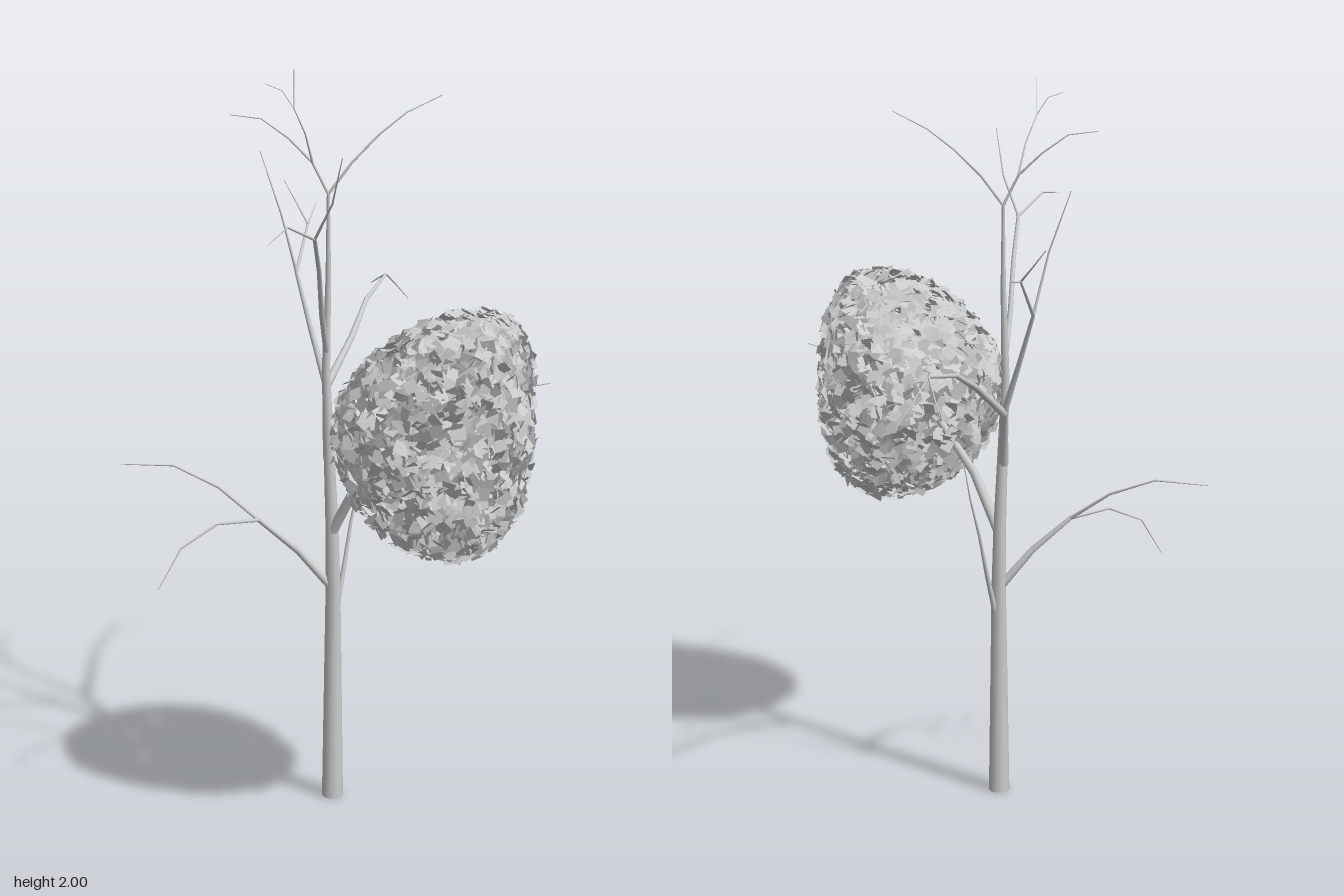
import * as THREE from 'three';

const barkMaterial = new THREE.MeshStandardMaterial({ color: 0xcccccc, side: THREE.DoubleSide });
const leafMaterial = new THREE.MeshStandardMaterial({ color: 0xcccccc, side: THREE.DoubleSide, flatShading: true });
const SIDES = 10;
const UP = new THREE.Vector3(0, 1, 0);
const FORWARD = new THREE.Vector3(0, 0, 1);
const CROWN = new THREE.Vector3(0.272, 1.11, 0.368);

// Seeded random numbers from -0.5 to 0.5
function seeded(seed) {
  return () => {
    seed = (seed * 16807) % 2147483647;
    return seed / 2147483647 - 0.5;
  };
}

// Tapered open limb: rings along a bent path, thinning by length
function limb(name, r0, r1, path) {
  const pts = path.map(p => new THREE.Vector3(...p));
  const along = [0];
  for (let i = 1; i < pts.length; i++) along.push(along[i - 1] + pts[i].distanceTo(pts[i - 1]));
  const total = along[along.length - 1];
  const pos = [], index = [];
  const q = new THREE.Quaternion();
  pts.forEach((p, i) => {
    const before = pts[Math.max(i - 1, 0)], after = pts[Math.min(i + 1, pts.length - 1)];
    q.setFromUnitVectors(UP, after.clone().sub(before).normalize());
    const r = THREE.MathUtils.lerp(r0, r1, along[i] / total);
    for (let j = 0; j < SIDES; j++) {
      const a = (j / SIDES) * Math.PI * 2;
      const v = new THREE.Vector3(Math.cos(a) * r, 0, Math.sin(a) * r).applyQuaternion(q).add(p);
      pos.push(v.x, v.y, v.z);
      if (i < pts.length - 1) {
        const k = i * SIDES + j, n = i * SIDES + (j + 1) % SIDES;
        index.push(k, k + SIDES, n, n, k + SIDES, n + SIDES);
      }
    }
  });
  const g = new THREE.BufferGeometry();
  g.setAttribute('position', new THREE.Float32BufferAttribute(pos, 3));
  g.setIndex(index);
  g.computeVertexNormals();
  const mesh = new THREE.Mesh(g, barkMaterial);
  mesh.name = name;
  return mesh;
}

// Bean-shaped leaf shell: round toward the trunk, bent outward at top and bottom.
// Local x runs across, local z runs outward from the trunk along the diagonal.
function shellPoint(d) {
  const across = d.x * 0.27;
  const out = d.z * 0.225 + (d.y > 0 ? 0.135 : 0.075) * d.y * d.y - 0.025;
  const s = Math.SQRT1_2;
  return new THREE.Vector3(s * (out + across), d.y * 0.315, s * (out - across)).add(CROWN);
}

function foliage() {
  const rand = seeded(4211);
  const count = 2500, pos = [];
  // Openings in the leaf cover, some facing each other so light passes through
  const gaps = [[-0.55, 0, 0.83], [0.78, 0, -0.6], [0, 1, 0], [0.1, -1, 0.15], [-0.7, -0.4, -0.6],
    [0.7, -0.4, 0.6], [0.1, 0.05, 1], [-0.4, 0.7, 0.5], [-0.1, 0.1, -1], [0.5, 0.8, -0.2]]
    .map(g => new THREE.Vector3(...g).normalize());
  const q = new THREE.Quaternion(), tilt = new THREE.Quaternion();
  for (let i = 0; i < count; i++) {
    const y = 1 - 2 * (i + 0.5) / count, r = Math.sqrt(1 - y * y), a = i * 2.39996;
    const dir = new THREE.Vector3(r * Math.cos(a), y, r * Math.sin(a));
    dir.add(new THREE.Vector3(rand(), rand(), rand()).multiplyScalar(0.12)).normalize();
    if (gaps.some(g => g.distanceTo(dir) < 0.13)) continue;
    const centre = shellPoint(dir);
    // Surface normal from two nearby shell points
    const t1 = new THREE.Vector3().crossVectors(dir, Math.abs(dir.y) > 0.9 ? FORWARD : UP).normalize();
    const t2 = new THREE.Vector3().crossVectors(dir, t1);
    const e1 = shellPoint(dir.clone().addScaledVector(t1, 0.02)).sub(centre);
    const e2 = shellPoint(dir.clone().addScaledVector(t2, 0.02)).sub(centre);
    const normal = e1.cross(e2).normalize();
    if (normal.dot(centre.clone().sub(CROWN)) < 0) normal.negate();
    // Square leaf, tilted a little off the shell
    tilt.setFromEuler(new THREE.Euler(rand() * 1.5, rand() * 1.5, rand() * Math.PI * 2));
    q.setFromUnitVectors(FORWARD, normal).multiply(tilt);
    const half = 0.0165 + rand() * 0.003;
    centre.addScaledVector(normal, rand() * 0.016);
    const c = [[-1, -1], [1, -1], [1, 1], [-1, 1]].map(([u, v]) =>
      new THREE.Vector3(u * half, v * half, 0).applyQuaternion(q).add(centre));
    for (const k of [0, 1, 2, 0, 2, 3]) pos.push(c[k].x, c[k].y, c[k].z);
  }
  const g = new THREE.BufferGeometry();
  g.setAttribute('position', new THREE.Float32BufferAttribute(pos, 3));
  g.computeVertexNormals();
  const mesh = new THREE.Mesh(g, leafMaterial);
  mesh.name = 'foliage';
  return mesh;
}

export function createModel() {
  const tree = new THREE.Group();
  tree.name = 'tree';
  tree.add(
    limb('trunk', 0.029, 0.004, [[0.012, 0, 0.098], [0.013, 0.6, 0.097], [0.01, 0.78, 0.096], [-0.006, 1.2, 0.095], [0, 1.45, 0.1], [0, 1.67, 0.1]]),

    // Crown twigs
    limb('crownTwigLeft', 0.004, 0.001, [[0, 1.67, 0.1], [-0.04, 1.75, 0.1], [-0.1, 1.81, 0.08], [-0.17, 1.86, 0.075], [-0.25, 1.87, 0.07]]),
    limb('crownTwigFront', 0.003, 0.0012, [[-0.04, 1.75, 0.1], [-0.06, 1.83, 0.14], [-0.09, 1.9, 0.175]]),
    limb('crownTipLeft', 0.0012, 0.0008, [[-0.09, 1.9, 0.175], [-0.12, 1.945, 0.18], [-0.16, 1.96, 0.17]]),
    limb('crownTipTop', 0.0012, 0.0008, [[-0.09, 1.9, 0.175], [-0.09, 2, 0.21]]),
    limb('crownTwigRight', 0.004, 0.001, [[0, 1.67, 0.1], [0.06, 1.75, 0.1], [0.13, 1.82, 0.09], [0.2, 1.875, 0.085], [0.29, 1.92, 0.095]]),

    // Back branch, dividing into a long low arm and an upright arm
    limb('backBranch', 0.014, 0.011, [[0, 0.96, 0.095], [0, 1.06, 0.04], [0, 1.13, -0.015]]),
    limb('backArm', 0.011, 0.004, [[0, 1.13, -0.015], [0.075, 1.235, -0.15], [0.125, 1.305, -0.31], [0.19, 1.34, -0.47]]),
    limb('backArmTwigA', 0.003, 0.001, [[0.19, 1.34, -0.47], [0.175, 1.31, -0.56], [0.16, 1.28, -0.64]]),
    limb('backArmTwigB', 0.003, 0.001, [[0.19, 1.34, -0.47], [0.225, 1.295, -0.53], [0.262, 1.245, -0.58]]),
    limb('backUprightArm', 0.009, 0.005, [[0, 1.13, -0.015], [-0.04, 1.28, -0.07], [-0.075, 1.42, -0.125]]),
    limb('backUprightTwig', 0.004, 0.001, [[-0.075, 1.42, -0.125], [-0.115, 1.58, -0.1], [-0.17, 1.745, -0.135]]),
    limb('backOuterTwig', 0.005, 0.003, [[-0.075, 1.42, -0.125], [-0.04, 1.53, -0.235]]),
    limb('backOuterTipA', 0.003, 0.001, [[-0.04, 1.53, -0.235], [-0.07, 1.58, -0.295], [-0.1, 1.63, -0.345]]),
    limb('backOuterTipB', 0.003, 0.001, [[-0.04, 1.53, -0.235], [-0.01, 1.56, -0.395]]),

    // Upper front branch
    limb('frontBranch', 0.008, 0.005, [[-0.004, 1.25, 0.095], [-0.02, 1.37, 0.17], [-0.03, 1.5, 0.25], [-0.045, 1.6, 0.35]]),
    limb('frontTwigLow', 0.004, 0.001, [[-0.045, 1.6, 0.35], [-0.115, 1.65, 0.45], [-0.165, 1.63, 0.57]]),
    limb('frontTwigHigh', 0.004, 0.001, [[-0.045, 1.6, 0.35], [-0.005, 1.7, 0.42], [0.015, 1.825, 0.5]]),

    // Low branch on the model's right
    limb('sideBranch', 0.012, 0.006, [[0.005, 0.61, 0.098], [-0.08, 0.71, 0.105], [-0.185, 0.8, 0.11]]),
    limb('sideTwigHigh', 0.005, 0.001, [[-0.185, 0.8, 0.11], [-0.29, 0.88, 0.07], [-0.41, 0.93, 0.03], [-0.55, 0.925, -0.005]]),
    limb('sideTwigLow', 0.005, 0.001, [[-0.185, 0.8, 0.11], [-0.295, 0.81, 0.17], [-0.39, 0.76, 0.22], [-0.45, 0.655, 0.24]]),

    // Slim low branch toward the back
    limb('slimBranch', 0.008, 0.001, [[0.02, 0.52, 0.092], [0.045, 0.65, 0.055], [0.065, 0.77, 0.03], [0.09, 0.88, 0.02], [0.108, 0.99, 0]]),

    // Branch carrying the foliage
    limb('leafyBranch', 0.015, 0.007, [[0.01, 0.76, 0.098], [0.08, 0.92, 0.15], [0.17, 1.04, 0.23], [0.28, 1.14, 0.31]]),
    limb('leafyTwigA', 0.005, 0.001, [[0.28, 1.14, 0.31], [0.41, 1.2, 0.33], [0.545, 1.235, 0.375]]),
    limb('leafyTwigB', 0.005, 0.001, [[0.28, 1.14, 0.31], [0.31, 1.24, 0.4], [0.35, 1.34, 0.48]]),
    foliage()
  );
  return tree;
}
